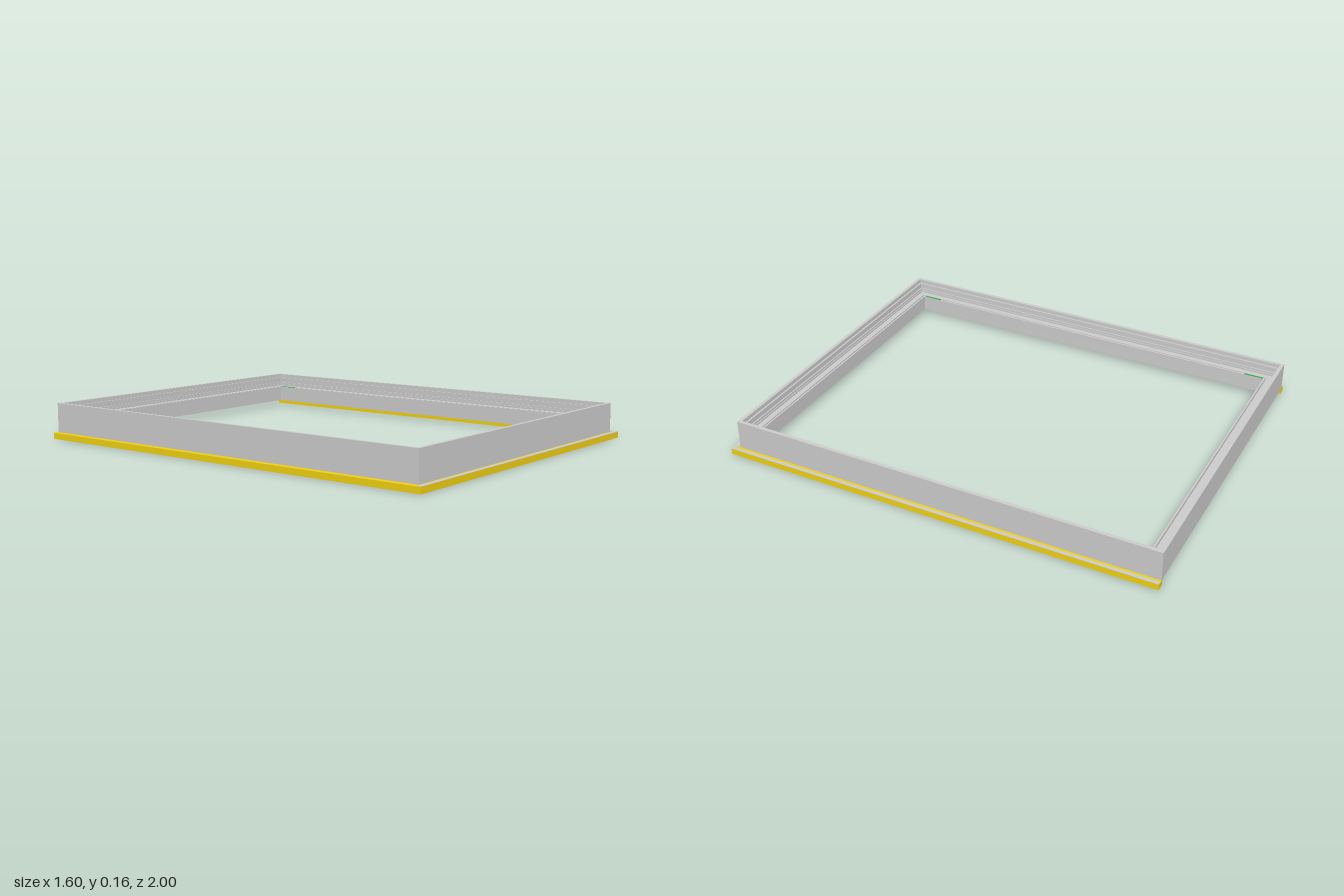
import * as THREE from 'three';

const grey = new THREE.MeshStandardMaterial({ color: 0xcccccc, flatShading: true });
const yellow = new THREE.MeshStandardMaterial({ color: 0xf0d010 });
const green = new THREE.MeshStandardMaterial({ color: 0x30b040 });

// Outer half sizes of the frame and its centre along z
const HX = 0.772, HZ = 0.986, CZ = -0.014;

// Sweeps a closed (inset, height) profile around the rectangle with mitred corners
function ring(name, profile) {
  const signs = [[1, 1], [1, -1], [-1, -1], [-1, 1]];
  const at = (k, i) => {
    const [sx, sz] = signs[k % 4];
    const [d, y] = profile[i % profile.length];
    return [sx * (HX - d), y, CZ + sz * (HZ - d)];
  };
  const pos = [];
  for (let k = 0; k < 4; k++) {
    for (let i = 0; i < profile.length; i++) {
      const a = at(k, i), b = at(k + 1, i), c = at(k + 1, i + 1), d = at(k, i + 1);
      pos.push(...a, ...b, ...c, ...a, ...c, ...d);
    }
  }
  const g = new THREE.BufferGeometry();
  g.setAttribute('position', new THREE.Float32BufferAttribute(pos, 3));
  g.computeVertexNormals();
  const mesh = new THREE.Mesh(g, grey);
  mesh.name = name;
  return mesh;
}

// Box given by its minimum and maximum on each axis
function box(name, material, x0, x1, y0, y1, z0, z1) {
  const mesh = new THREE.Mesh(new THREE.BoxGeometry(x1 - x0, y1 - y0, z1 - z0), material);
  mesh.position.set((x0 + x1) / 2, (y0 + y1) / 2, (z0 + z1) / 2);
  mesh.name = name;
  return mesh;
}

export function createModel() {
  const model = new THREE.Group();
  model.name = 'windowFrame';

  // Frame section: tall outer wall, stepped rebate, ledge, groove and inner lip
  model.add(ring('frameProfile', [
    [0, 0.027], [0, 0.16], [0.016, 0.16], [0.016, 0.142], [0.024, 0.142],
    [0.024, 0.118], [0.030, 0.118], [0.030, 0.100], [0.060, 0.100],
    [0.060, 0.086], [0.066, 0.086], [0.066, 0.100], [0.073, 0.100], [0.073, 0.027],
  ]));

  // Seal bead standing on the rebate step
  model.add(ring('sealBead', [
    [0.030, 0.100], [0.030, 0.108], [0.034, 0.108], [0.034, 0.100],
  ]));

  // Mounting flange on the two sides and the front
  const flange = new THREE.Group();
  flange.name = 'mountingFlange';
  for (const s of [-1, 1]) {
    const x = [s * 0.765, s * 0.8].sort((a, b) => a - b);
    flange.add(box('sideFlange', yellow, x[0], x[1], 0, 0.027, -1, 1));
  }
  flange.add(box('frontFlange', yellow, -0.765, 0.765, 0, 0.027, 0.965, 1));

  // Grey cover strips on top of the flange
  flange.add(box('leftCoverStrip', grey, 0.784, 0.8, 0.026, 0.0285, -1, 1));
  flange.add(box('frontCoverStrip', grey, -0.8, 0.784, 0.026, 0.0285, 0.982, 1));
  model.add(flange);

  // Green packers in the side grooves near the corners
  for (const s of [-1, 1]) {
    for (const z of [-0.88, 0.85]) {
      const x = [s * 0.7, s * 0.707].sort((a, b) => a - b);
      model.add(box('cornerPacker', green, x[0], x[1], 0.07, 0.102, z - 0.045, z + 0.045));
    }
  }
  return model;
}
